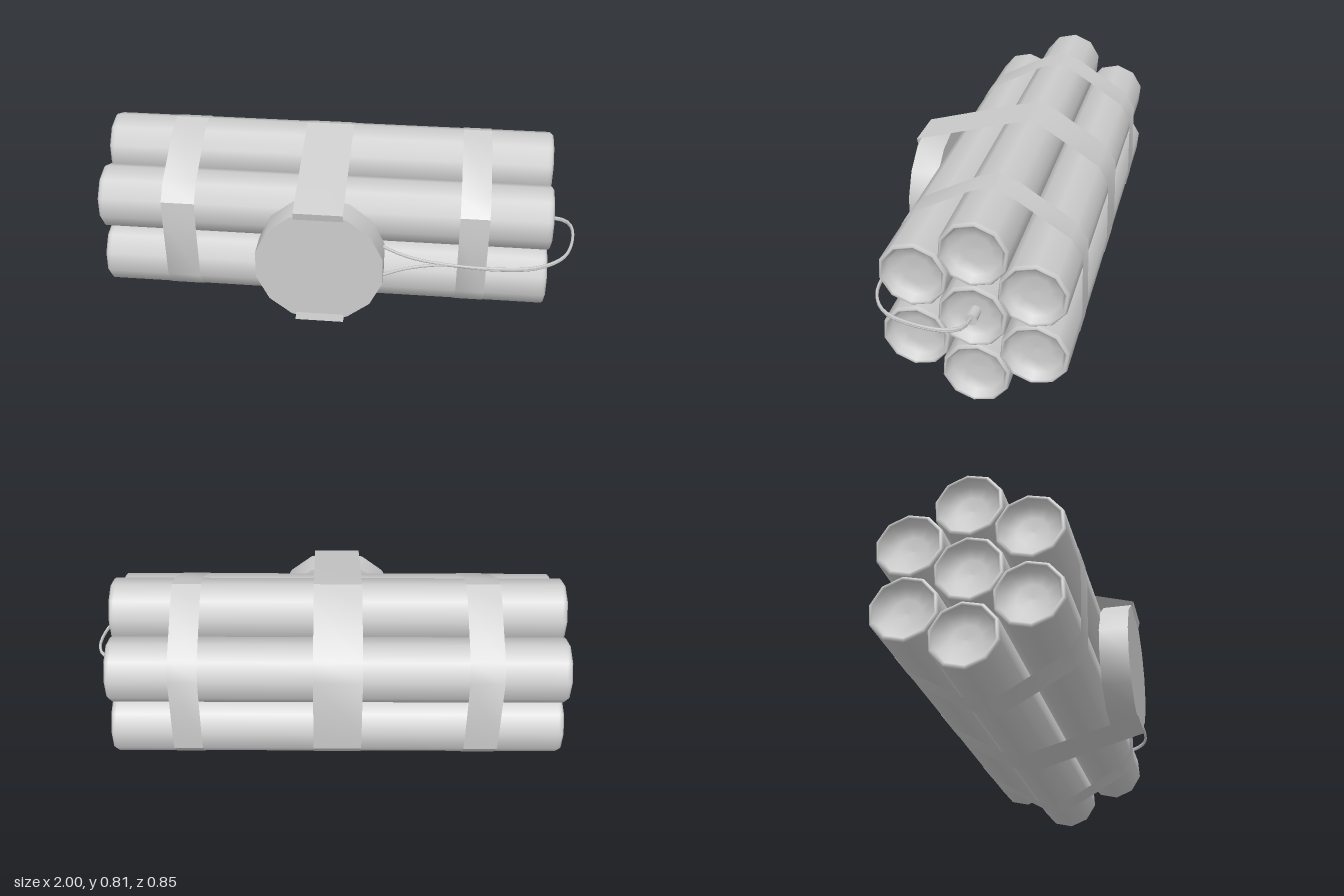
import * as THREE from 'three';
import { toCreasedNormals } from 'three/addons/utils/BufferGeometryUtils.js';

const R = 0.135, SIDES = 10, TURN = -Math.PI / 2 - 0.075;
// stick centres as [z, y]; the first is the middle stick
const STICKS = [[-0.053, 0.405], [-0.06, 0.678], [0.172, 0.553], [0.17, 0.275],
  [-0.063, 0.14], [-0.29, 0.27], [-0.283, 0.534]];

const grey = new THREE.MeshStandardMaterial({ color: 0xcccccc });
const greyDouble = new THREE.MeshStandardMaterial({ color: 0xcccccc, side: THREE.DoubleSide });

function add(parent, name, geometry, material = grey) {
  const mesh = new THREE.Mesh(geometry, material);
  mesh.name = name;
  parent.add(mesh);
  return mesh;
}

// Convex outline of [z, y] points, clockwise with z to the right
function hull(points) {
  const sorted = points.slice().sort((a, b) => a[0] - b[0] || a[1] - b[1]);
  const half = (list) => {
    const out = [];
    for (const p of list) {
      while (out.length > 1) {
        const [a, b] = out.slice(-2);
        if ((b[0] - a[0]) * (p[1] - a[1]) - (b[1] - a[1]) * (p[0] - a[0]) > 0) break;
        out.pop();
      }
      out.push(p);
    }
    return out.slice(0, -1);
  };
  return [...half(sorted), ...half(sorted.reverse())].reverse();
}

// Corners of the outer sticks, slightly enlarged so the straps lie on top
function stickCorners() {
  const corners = [];
  for (const [z, y] of STICKS.slice(1)) {
    for (let i = 0; i < SIDES; i++) {
      const a = TURN + (i / SIDES) * Math.PI * 2;
      corners.push([z + (R + 0.002) * Math.cos(a), y - (R + 0.002) * Math.sin(a)]);
    }
  }
  return corners;
}

// Flat ribbon following a [z, y] path, centred on x
function ribbon(path, x, width) {
  const g = new THREE.PlaneGeometry(1, width, path.length - 1, 1);
  const p = g.attributes.position;
  for (let i = 0; i < p.count; i++) {
    const [z, y] = path[i % path.length];
    p.setXYZ(i, x + p.getY(i), y, z);
  }
  return toCreasedNormals(g, 0.6);
}

function tube(points, radius) {
  const curve = new THREE.CatmullRomCurve3(points.map((p) => new THREE.Vector3(...p)));
  return new THREE.TubeGeometry(curve, 36, radius, 6);
}

export function createModel() {
  const model = new THREE.Group();

  // Sticks with a bevelled rim and a dished end
  const end = [[0, 0.89], [0.06, 0.893], [0.106, 0.902], [0.119, 0.936], [0.128, 0.94],
    [R, 0.932], [R, 0.92]];
  const profile = [
    ...end.map(([r, h]) => new THREE.Vector2(r, -h)),
    ...end.slice().reverse().map(([r, h]) => new THREE.Vector2(r, h)),
  ];
  const stick = new THREE.LatheGeometry(profile, SIDES, TURN);
  stick.rotateZ(-Math.PI / 2);
  const sticks = new THREE.Group();
  sticks.name = 'sticks';
  for (const [z, y] of STICKS) add(sticks, 'stick', stick).position.set(-0.06, y, z);
  model.add(sticks);

  // Two narrow straps around the bundle
  const corners = stickCorners();
  const loop = hull(corners);
  loop.push(loop[0]);
  add(model, 'rightStrap', ribbon(loop, -0.66, 0.14), greyDouble);
  add(model, 'leftStrap', ribbon(loop, 0.565, 0.12), greyDouble);

  // Wide strap that also holds the timer and tucks into its face
  const low = [0.43, 0.14], high = [0.43, 0.672];
  const wide = hull([...corners, low, high]);
  const start = wide.indexOf(low);
  const path = [[0.415, 0.2], ...wide.slice(start), ...wide.slice(0, start), [0.415, 0.61]];
  add(model, 'timerStrap', ribbon(path, -0.06, 0.2), greyDouble);

  // Round timer on the front
  const timer = new THREE.Group();
  timer.name = 'timer';
  timer.position.set(-0.06, 0.405, 0);
  const body = new THREE.CylinderGeometry(0.268, 0.268, 0.12, 14);
  body.rotateX(Math.PI / 2);
  add(timer, 'timerBody', toCreasedNormals(body, 0.6)).position.z = 0.362;
  // Hands lying almost flush with the face
  for (const [length, angle] of [[0.11, 0.1], [0.08, 2.3]]) {
    const hand = new THREE.PlaneGeometry(length, 0.016);
    hand.translate(length / 2, 0, 0);
    hand.rotateZ(angle);
    add(timer, 'hand', hand).position.z = 0.423;
  }
  model.add(timer);

  // Two wires leaving the timer, joining and curling round to the middle stick
  const shared = [[0.44, 0.403, 0.341], [0.66, 0.405, 0.357], [0.83, 0.409, 0.336],
    [0.94, 0.415, 0.26], [0.988, 0.418, 0.13], [0.988, 0.416, 0.01],
    [0.95, 0.41, -0.04], [0.86, 0.404, -0.053]];
  const starts = {
    upperWire: [[0.17, 0.48, 0.33], [0.3, 0.43, 0.338]],
    lowerWire: [[0.17, 0.335, 0.36], [0.3, 0.38, 0.35]],
  };
  Object.entries(starts).forEach(([name, lead], i) => {
    const joined = shared.map(([x, y, z]) => [x, y + (i ? -0.003 : 0.003), z]);
    add(model, name, tube([...lead, ...joined], 0.006));
  });

  // Small cap in the middle stick where the wires end
  const cap = new THREE.CylinderGeometry(0.025, 0.025, 0.07, 8);
  cap.rotateZ(Math.PI / 2);
  add(model, 'wireCap', toCreasedNormals(cap, 0.8)).position.set(0.855, 0.403, -0.053);

  return model;
}
